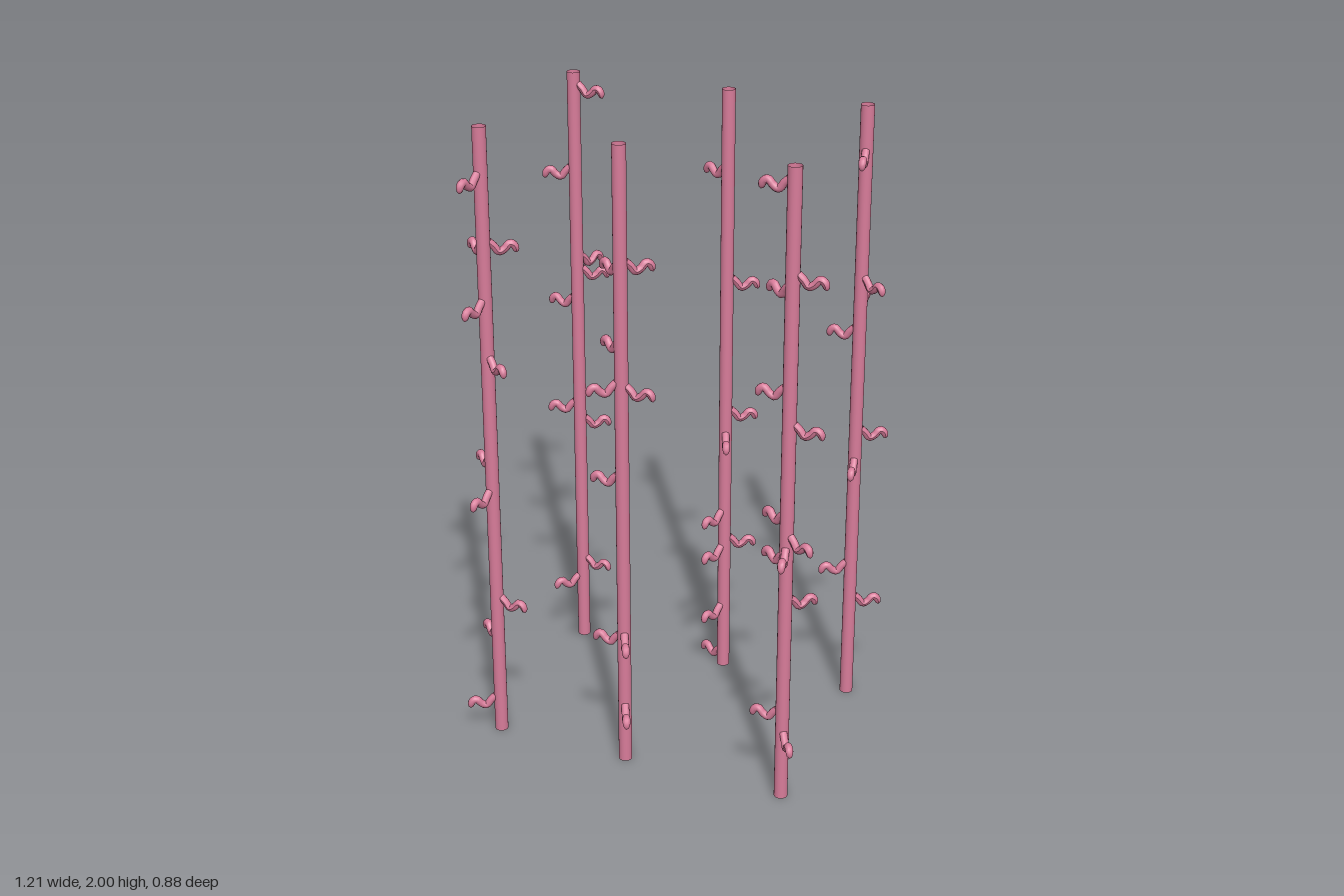
import * as THREE from 'three';

const POLE_RADIUS = 0.021, POLE_HEIGHT = 2;

// Each pole: position and its hooks as [height, heading in degrees from +x towards +z]
const POLES = [
  { name: 'backRightPole', x: -0.5, z: -0.335, hooks: [[1.94, 0], [1.67, 160], [1.37, -63], [1.33, -30], [1.23, 182],
    [0.86, 160], [0.8, -35], [0.66, -122], [0.28, 0], [0.21, 133]] },
  { name: 'backMiddlePole', x: 0.026, z: -0.335, hooks: [[1.73, 204], [1.37, -30], [0.92, -30], [0.84, 66],
    [0.56, 110], [0.46, -30], [0.43, 110], [0.21, 110], [0.03, 204]] },
  { name: 'backLeftPole', x: 0.47, z: -0.335, hooks: [[1.84, 78], [1.44, 30], [1.37, -97], [1.27, 178],
    [0.93, -33], [0.83, 78], [0.46, 150], [0.335, -33]] },
  { name: 'frontRightPole', x: -0.47, z: 0.335, hooks: [[1.84, 100], [1.63, -36], [1.62, 218], [1.45, 100], [1.27, 33],
    [0.93, 218], [0.83, 100], [0.46, 0], [0.335, 218], [0.1, 148]] },
  { name: 'frontMiddlePole', x: -0.029, z: 0.335, hooks: [[1.63, -42], [1.62, 213], [1.38, 213], [1.26, 146],
    [1.25, -4], [0.96, 180], [0.43, 62], [0.42, 180], [0.18, 62]] },
  { name: 'frontLeftPole', x: 0.495, z: 0.335, hooks: [[1.94, 180], [1.67, -5], [1.63, 208], [1.33, 180], [1.22, -5],
    [0.93, 208], [0.87, 25], [0.83, 78], [0.8, 208], [0.66, -45], [0.28, 180], [0.21, 55]] },
];

// S-shaped hook pointing along +x, its tip tapering to a blunt point
function hookGeometry() {
  const curve = new THREE.CatmullRomCurve3([
    [0.015, 0.022], [0.03, 0.008], [0.046, -0.011], [0.062, -0.004], [0.078, 0.012], [0.091, 0.006], [0.099, -0.018],
  ].map(([x, y]) => new THREE.Vector3(x, y, 0)));
  const segments = 24, sides = 10;
  const geometry = new THREE.TubeGeometry(curve, segments, 0.012, sides, false);
  const pos = geometry.attributes.position;
  const p = new THREE.Vector3(), centre = new THREE.Vector3();
  for (let i = 0; i <= segments; i++) {
    const t = i / segments;
    const scale = t < 0.8 ? 1 : Math.sqrt(Math.max(0, 1 - ((t - 0.8) / 0.2) ** 2));
    curve.getPointAt(t, centre);
    for (let j = 0; j <= sides; j++) {
      const k = i * (sides + 1) + j;
      p.fromBufferAttribute(pos, k).sub(centre).multiplyScalar(scale).add(centre);
      pos.setXYZ(k, p.x, p.y, p.z);
    }
  }
  geometry.computeVertexNormals();
  return geometry;
}

export function createModel() {
  const model = new THREE.Group();
  model.name = 'hookedPoles';
  const material = new THREE.MeshStandardMaterial({ color: 0xd87c9a, side: THREE.DoubleSide });

  // Open-ended pole shared by all six
  const poleGeo = new THREE.CylinderGeometry(POLE_RADIUS, POLE_RADIUS, POLE_HEIGHT, 20, 1, true);
  poleGeo.translate(0, POLE_HEIGHT / 2, 0);
  const hookGeo = hookGeometry();

  for (const { name, x, z, hooks } of POLES) {
    const group = new THREE.Group();
    group.name = name;
    group.position.set(x, 0, z);
    const pole = new THREE.Mesh(poleGeo, material);
    pole.name = 'pole';
    group.add(pole);

    // Hooks around the pole
    for (const [y, heading] of hooks) {
      const hook = new THREE.Mesh(hookGeo, material);
      hook.name = 'hook';
      hook.position.y = y;
      hook.rotation.y = -THREE.MathUtils.degToRad(heading);
      group.add(hook);
    }
    model.add(group);
  }
  return model;
}
